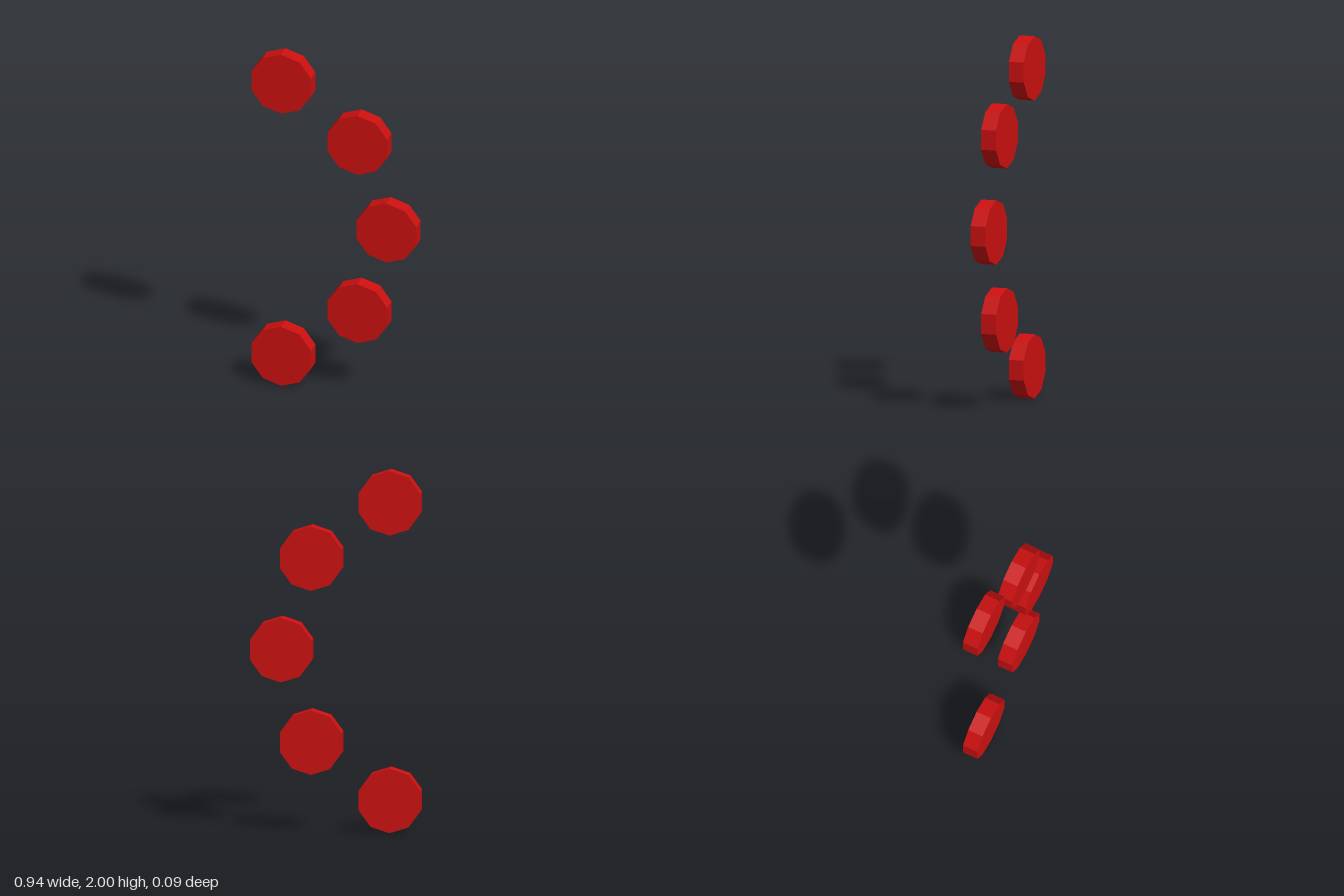
import * as THREE from 'three';

export function createModel() {
  const group = new THREE.Group();
  group.name = 'discArc';

  const material = new THREE.MeshStandardMaterial({ color: 0xcc1010, flatShading: true });

  // ten-sided disc facing the front, with a corner at the top
  const discRadius = 0.178, thickness = 0.087;
  const disc = new THREE.CylinderGeometry(discRadius, discRadius, thickness, 10);
  disc.rotateX(Math.PI / 2);

  // five discs spaced evenly on a circular arc
  const arcRadius = 0.864, arcCentreX = -0.5655, step = Math.PI / 5;
  for (let i = -2; i <= 2; i++) {
    const mesh = new THREE.Mesh(disc, material);
    mesh.name = `disc${i + 3}`;
    mesh.position.set(
      arcCentreX + arcRadius * Math.cos(i * step),
      1 + arcRadius * Math.sin(i * step),
      0
    );
    group.add(mesh);
  }
  return group;
}
